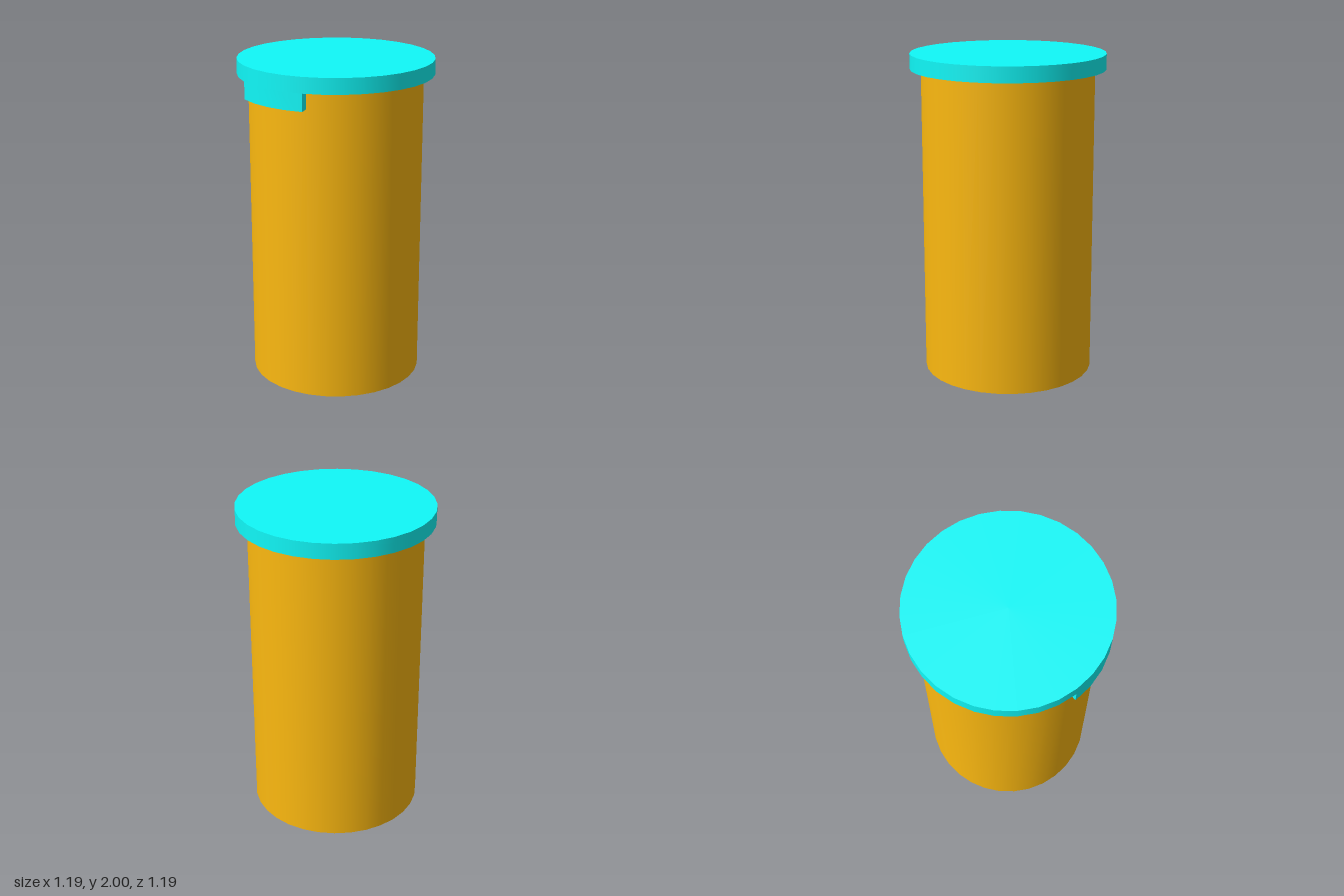
import * as THREE from 'three';
import { toCreasedNormals } from 'three/addons/utils/BufferGeometryUtils.js';

const SIDES = 32;
const BODY_R = 0.528, LID_R = 0.595;
const TAB_Y = 1.8, LID_Y = 1.905, TOP_Y = 2;

// Upright cylinder between two heights
function disc(name, radius, y0, y1, material) {
  const geometry = new THREE.CylinderGeometry(radius, radius, y1 - y0, SIDES);
  geometry.translate(0, (y0 + y1) / 2, 0);
  const mesh = new THREE.Mesh(geometry, material);
  mesh.name = name;
  return mesh;
}

export function createModel() {
  const group = new THREE.Group();
  group.name = 'canister';
  const amber = new THREE.MeshStandardMaterial({ color: 0xfcb910 });
  const cyan = new THREE.MeshStandardMaterial({ color: 0x10f8f8 });

  // Body and overhanging lid
  group.add(disc('body', BODY_R, 0, LID_Y, amber));
  group.add(disc('lid', LID_R, LID_Y, TOP_Y, cyan));

  // Curved tab hanging from the front of the lid, four facets wide
  const start = -Math.PI / 2 - Math.PI / 8, end = -Math.PI / 2 + Math.PI / 8;
  const arc = new THREE.Shape();
  arc.absarc(0, 0, LID_R, start, end, false);
  arc.absarc(0, 0, BODY_R, end, start, true);
  arc.closePath();
  const tabGeometry = new THREE.ExtrudeGeometry(arc, {
    depth: LID_Y - TAB_Y, bevelEnabled: false, curveSegments: 2,
  });
  tabGeometry.rotateX(-Math.PI / 2);
  tabGeometry.translate(0, TAB_Y, 0);
  const tab = new THREE.Mesh(toCreasedNormals(tabGeometry, 0.5), cyan);
  tab.name = 'lidTab';
  group.add(tab);

  return group;
}
